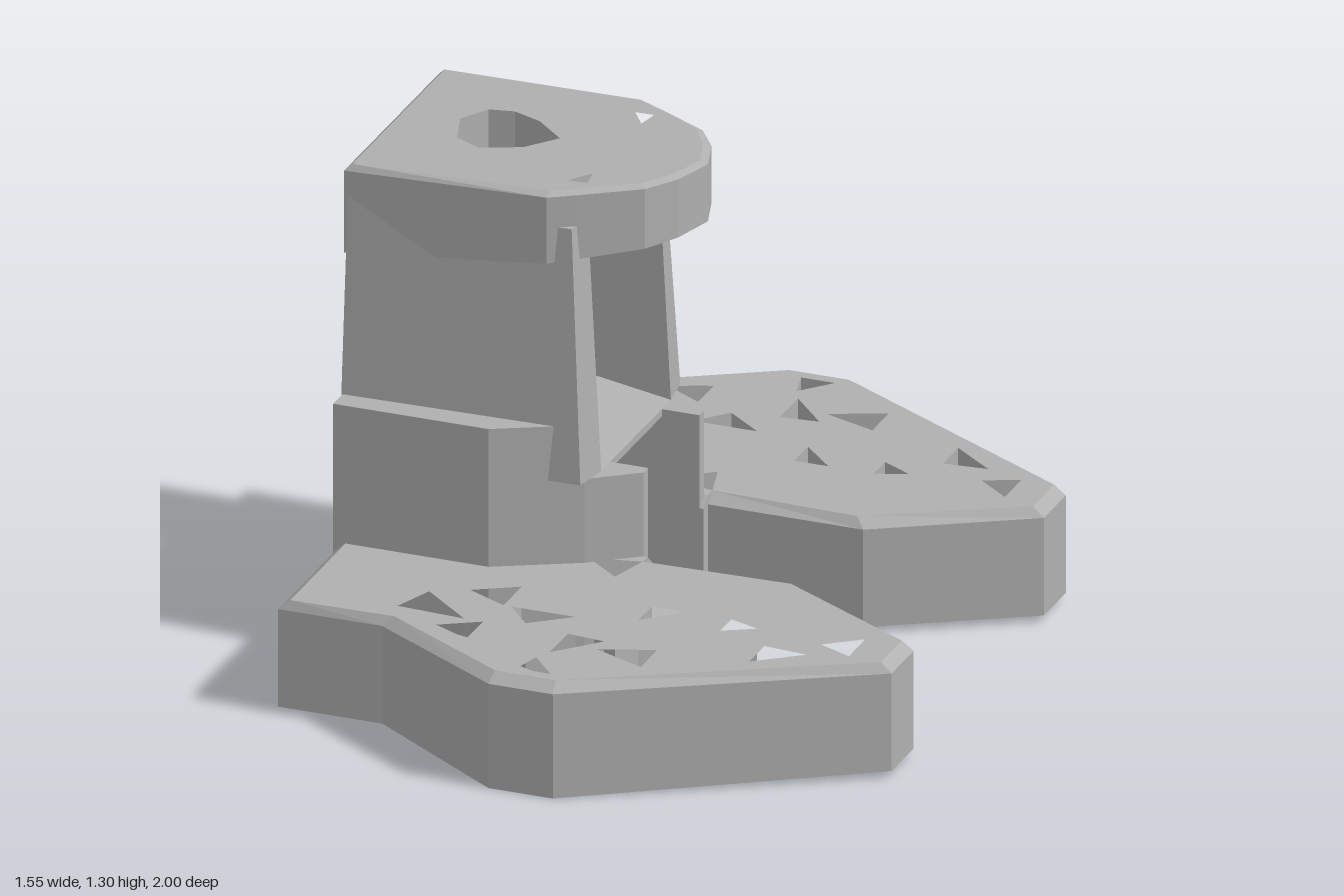
import * as THREE from 'three';
import { ConvexGeometry } from 'three/addons/geometries/ConvexGeometry.js';

const grey = new THREE.MeshStandardMaterial({ color: 0xb0b0b0 });
grey.name = 'plain grey';

const pts2 = (list, side = 1) => list.map(([x, z]) => new THREE.Vector2(x, z * side));

function part(geometry, name) {
  const mesh = new THREE.Mesh(geometry, grey);
  mesh.name = name;
  return mesh;
}

// Horizontal plate from an (x, z) outline: upright sides, then a bevel of the outer rim at the top
function plate(outline, holes, bottom, rim, top, inset) {
  const shape = new THREE.Shape(outline);
  shape.holes = holes.map((h) => new THREE.Path(h));
  const g = new THREE.ExtrudeGeometry(shape, { depth: 2, steps: 2, bevelEnabled: false });
  g.rotateX(Math.PI / 2);
  const centre = outline.reduce((c, p) => c.add(p), new THREE.Vector2()).divideScalar(outline.length);
  const p = g.attributes.position;
  const v = new THREE.Vector2();
  for (let i = 0; i < p.count; i++) {
    const layer = Math.round(-p.getY(i));
    v.set(p.getX(i), p.getZ(i));
    const y = [top, rim, bottom][layer](v.x, v.y);
    if (layer === 0 && outline.some((o) => o.distanceTo(v) < 1e-4)) {
      v.add(centre.clone().sub(v).setLength(inset));
    }
    p.setXYZ(i, v.x, y, v.y);
  }
  g.computeVertexNormals();
  return g;
}

// Upright prism without bevel
function prism(list, side, y0, y1) {
  return plate(pts2(list, side), [], () => y0, () => (y0 + y1) / 2, () => y1, 0);
}

const solid = (corners) => new ConvexGeometry(corners.map((c) => new THREE.Vector3(...c)));

const wingOutline = [
  [-0.765, 0.17], [-0.765, 0.775], [-0.49, 0.775], [-0.12, 1], [0.05, 1],
  [0.775, 0.575], [0.775, 0.43], [0.39, 0.2], [-0.02, 0.2], [-0.02, 0.17],
];
const wingHoles = [
  [[-0.35, 0.77], [-0.25, 0.82], [-0.25, 0.71]],
  [[-0.48, 0.7], [-0.3, 0.71], [-0.44, 0.59]],
  [[-0.35, 0.545], [-0.24, 0.6], [-0.24, 0.48]],
  [[-0.22, 0.6], [-0.15, 0.68], [-0.05, 0.6]],
  [[-0.03, 0.82], [0.07, 0.71], [-0.03, 0.7]],
  [[-0.07, 0.94], [0.02, 0.94], [-0.05, 0.86]],
  [[0.07, 0.76], [0.21, 0.82], [0.21, 0.71]],
  [[0.1, 0.56], [0.19, 0.47], [0.1, 0.47]],
  [[0.31, 0.545], [0.39, 0.5], [0.31, 0.47]],
  [[0.445, 0.69], [0.56, 0.6], [0.445, 0.59]],
  [[0.57, 0.53], [0.66, 0.57], [0.66, 0.46]],
  [[-0.15, 0.26], [-0.05, 0.34], [-0.02, 0.23]],
];

export function createModel() {
  const model = new THREE.Group();
  model.name = 'stand';

  for (const side of [1, -1]) {
    const end = side > 0 ? 'Front' : 'Back';

    // Perforated foot
    model.add(part(plate(
      pts2(wingOutline, side), wingHoles.map((h) => pts2(h, side)),
      (x, z) => (Math.abs(z) > 0.95 ? 0 : 0.018), () => 0.28, () => 0.305, 0.03,
    ), 'foot' + end));

    // Lower body wall with its stepped, tapering nose
    model.add(part(prism(
      [[-0.77, 0.17], [-0.77, 0.4], [-0.36, 0.4], [-0.15, 0.29], [-0.03, 0.2], [-0.03, 0.17]],
      side, 0.02, 0.53), 'lowerWall' + end));
    model.add(part(prism(
      [[-0.77, 0.23], [-0.77, 0.4], [-0.36, 0.4], [-0.15, 0.29], [-0.14, 0.23]],
      side, 0.53, 0.675), 'lowerShoulder' + end));

    // Leaning upper wall
    const upper = [];
    for (const z of [0.23, 0.345]) {
      const lean = z > 0.3 ? 0.03 : 0;
      const trim = z > 0.3 ? 0.015 : 0;
      upper.push([-0.775, 0.53, z * side], [-0.13 - trim, 0.53, (z - trim) * side],
        [-0.765, 1.2, (z - lean) * side], [-0.165 - trim, 1.2, (z - lean - trim) * side]);
    }
    model.add(part(solid(upper), 'upperWall' + end));
  }

  // Sloping shelf between the two openings
  const shelf = [];
  const floor = [];
  for (const s of [1, -1]) {
    shelf.push([-0.77, 0.51, 0.235 * s], [-0.13, 0.51, 0.235 * s],
      [-0.13, 0.53, 0.235 * s], [-0.77, 0.635, 0.235 * s]);
    floor.push([-0.77, 0.02, 0.18 * s], [-0.03, 0.02, 0.18 * s],
      [-0.03, 0.04, 0.18 * s], [-0.77, 0.17, 0.18 * s]);
  }
  model.add(part(solid(shelf), 'shelf'));
  model.add(part(solid(floor), 'tunnelFloor'));

  // Rear wall of the tunnel with a notched window
  const rear = new THREE.Shape(pts2([[-0.18, 0.02], [0.18, 0.02], [0.18, 0.52], [-0.18, 0.52]]));
  rear.holes.push(new THREE.Path(pts2([
    [0.165, 0.17], [0.165, 0.22], [0.125, 0.44], [0, 0.44], [0, 0.505],
    [-0.095, 0.505], [-0.165, 0.2], [-0.165, 0.17],
  ])));
  const rearWall = new THREE.ExtrudeGeometry(rear, { depth: 0.06, bevelEnabled: false });
  rearWall.rotateY(-Math.PI / 2).translate(-0.71, 0, 0);
  model.add(part(rearWall, 'rearWall'));

  // Cap with a rounded overhanging nose, a teardrop hole and two small slots
  const half = [[-0.775, 0.315], [-0.24, 0.315], [-0.17, 0.275], [-0.03, 0.19], [0.025, 0.11]];
  const capOutline = [...half, [0.06, 0], ...half.map(([x, z]) => [x, -z]).reverse()];
  const capHole = [
    [-0.61, -0.04], [-0.565, -0.115], [-0.5, -0.125], [-0.42, -0.09], [-0.335, -0.01],
    [-0.4, 0.07], [-0.5, 0.11], [-0.575, 0.07],
  ];
  const slot = [[-0.22, 0.22], [-0.18, 0.16], [-0.17, 0.22]];
  model.add(part(plate(
    pts2(capOutline), [pts2(capHole), pts2(slot), pts2(slot, -1)],
    (x) => 1.045 + (x + 0.775) * 0.11,
    (x) => 1.265 + (x + 0.775) * 0.03,
    (x) => 1.282 + (x + 0.775) * 0.018, 0.02,
  ), 'cap'));

  return model;
}
